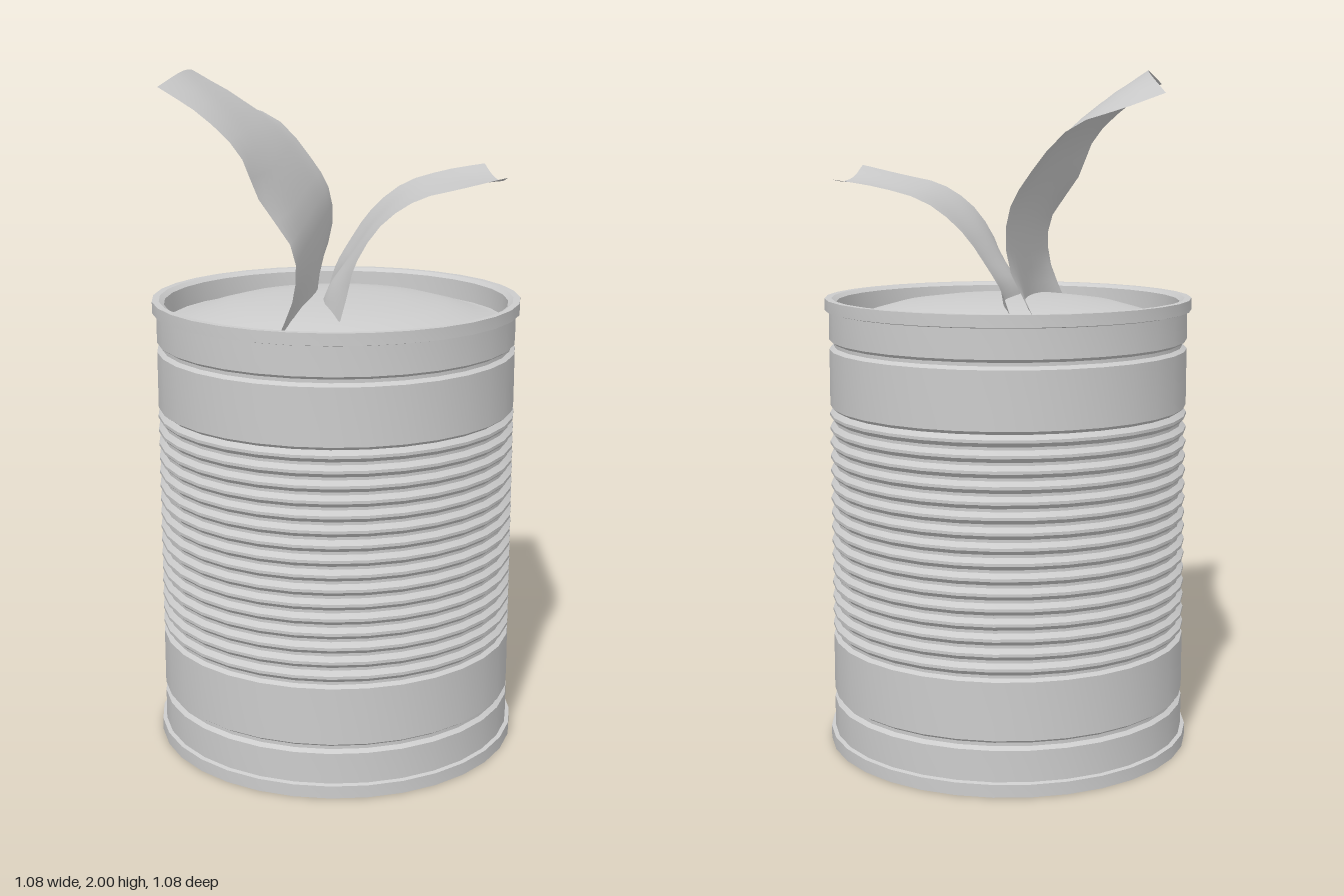
import * as THREE from 'three';
import { toCreasedNormals } from 'three/addons/utils/BufferGeometryUtils.js';

const v2 = (x, y) => new THREE.Vector2(x, y);
const material = new THREE.MeshStandardMaterial({ color: 0xcccccc, side: THREE.DoubleSide });

// Ribbed can with rolled rims, recessed base and bulging lid
function makeCan() {
  const p = [v2(0, 0.02), v2(0.38, 0.02), v2(0.47, 0.012), v2(0.505, 0.012), v2(0.51, 0), v2(0.54, 0),
    v2(0.54, 0.037), v2(0.528, 0.04)];
  const groove = y => p.push(v2(0.528, y - 0.014), v2(0.515, y - 0.005), v2(0.515, y + 0.005), v2(0.528, y + 0.014));
  groove(0.145);
  // stack of horizontal ribs
  const ribs = 16, y0 = 0.335, y1 = 1.015, step = (y1 - y0) / ribs;
  p.push(v2(0.528, y0 - 0.008));
  for (let i = 0; i < ribs; i++) {
    const y = y0 + i * step;
    p.push(v2(0.515, y), v2(0.515, y + step * 0.2), v2(0.529, y + step * 0.5), v2(0.529, y + step * 0.7));
  }
  p.push(v2(0.515, y1), v2(0.528, y1 + 0.01));
  groove(1.205);
  // top rim, inner wall and lid
  p.push(v2(0.528, 1.303), v2(0.54, 1.306), v2(0.54, 1.34), v2(0.52, 1.34), v2(0.505, 1.33), v2(0.503, 1.27),
    v2(0.48, 1.272), v2(0.41, 1.297), v2(0.32, 1.322), v2(0.2, 1.338), v2(0.1, 1.343), v2(0, 1.345));
  const can = new THREE.Mesh(toCreasedNormals(new THREE.LatheGeometry(p, 32), 0.5), material);
  can.name = 'can';
  return can;
}

// Bent metal sheet, smoothly lofted through profiles that run from tip to root
function makeFlap(name, profiles, nu = 14, nv = 12) {
  const curves = profiles.map(pr => new THREE.CatmullRomCurve3(pr.map(q => new THREE.Vector3(...q))));
  const pos = [], index = [];
  for (let i = 0; i <= nu; i++) {
    const across = new THREE.CatmullRomCurve3(curves.map(c => c.getPoint(i / nu)));
    for (let j = 0; j <= nv; j++) {
      pos.push(...across.getPoint(j / nv).toArray());
      if (i < nu && j < nv) {
        const a = i * (nv + 1) + j, b = a + nv + 1;
        index.push(a, a + 1, b, a + 1, b + 1, b);
      }
    }
  }
  const g = new THREE.BufferGeometry();
  g.setAttribute('position', new THREE.Float32BufferAttribute(pos, 3));
  g.setIndex(index);
  g.computeVertexNormals();
  const mesh = new THREE.Mesh(g, material);
  mesh.name = name;
  return mesh;
}

export function createModel() {
  const group = new THREE.Group();
  group.name = 'openedCan';
  group.add(makeCan());

  // tall flap curling to the right side
  group.add(makeFlap('tallFlap', [
    [[-0.45, 1.97, 0.45], [-0.34, 1.9, 0.46], [-0.24, 1.8, 0.46], [-0.19, 1.68, 0.455], [-0.1, 1.54, 0.45], [-0.1, 1.42, 0.44], [-0.15, 1.29, 0.425]],
    [[-0.41, 2.0, 0.22], [-0.31, 1.92, 0.22], [-0.21, 1.81, 0.21], [-0.14, 1.68, 0.2], [-0.085, 1.55, 0.2], [-0.08, 1.43, 0.2], [-0.1, 1.32, 0.19]],
    [[-0.41, 1.98, -0.08], [-0.3, 1.92, -0.08], [-0.19, 1.83, -0.09], [-0.11, 1.71, -0.1], [-0.055, 1.58, -0.1], [-0.05, 1.44, -0.1], [-0.06, 1.33, -0.1]],
    [[-0.45, 1.92, -0.36], [-0.34, 1.88, -0.36], [-0.2, 1.83, -0.37], [-0.09, 1.71, -0.36], [-0.03, 1.6, -0.375], [-0.03, 1.46, -0.375], [-0.11, 1.3, -0.385]],
  ]));

  // short flap folded out to the left side
  group.add(makeFlap('shortFlap', [
    [[0.475, 1.72, 0.28], [0.35, 1.69, 0.29], [0.23, 1.66, 0.3], [0.13, 1.59, 0.305], [0.06, 1.48, 0.31], [0.04, 1.4, 0.31], [0.02, 1.325, 0.315]],
    [[0.47, 1.69, 0.1], [0.35, 1.68, 0.1], [0.22, 1.645, 0.1], [0.11, 1.56, 0.09], [0.03, 1.45, 0.09], [-0.02, 1.38, 0.08], [-0.04, 1.33, 0.07]],
    [[0.46, 1.68, -0.16], [0.35, 1.67, -0.16], [0.22, 1.64, -0.16], [0.12, 1.56, -0.16], [0.05, 1.46, -0.16], [0.01, 1.39, -0.16], [0, 1.33, -0.16]],
    [[0.45, 1.69, -0.385], [0.33, 1.67, -0.38], [0.2, 1.63, -0.37], [0.1, 1.55, -0.36], [0.03, 1.45, -0.35], [-0.01, 1.38, -0.34], [-0.03, 1.32, -0.33]],
  ]));
  return group;
}
